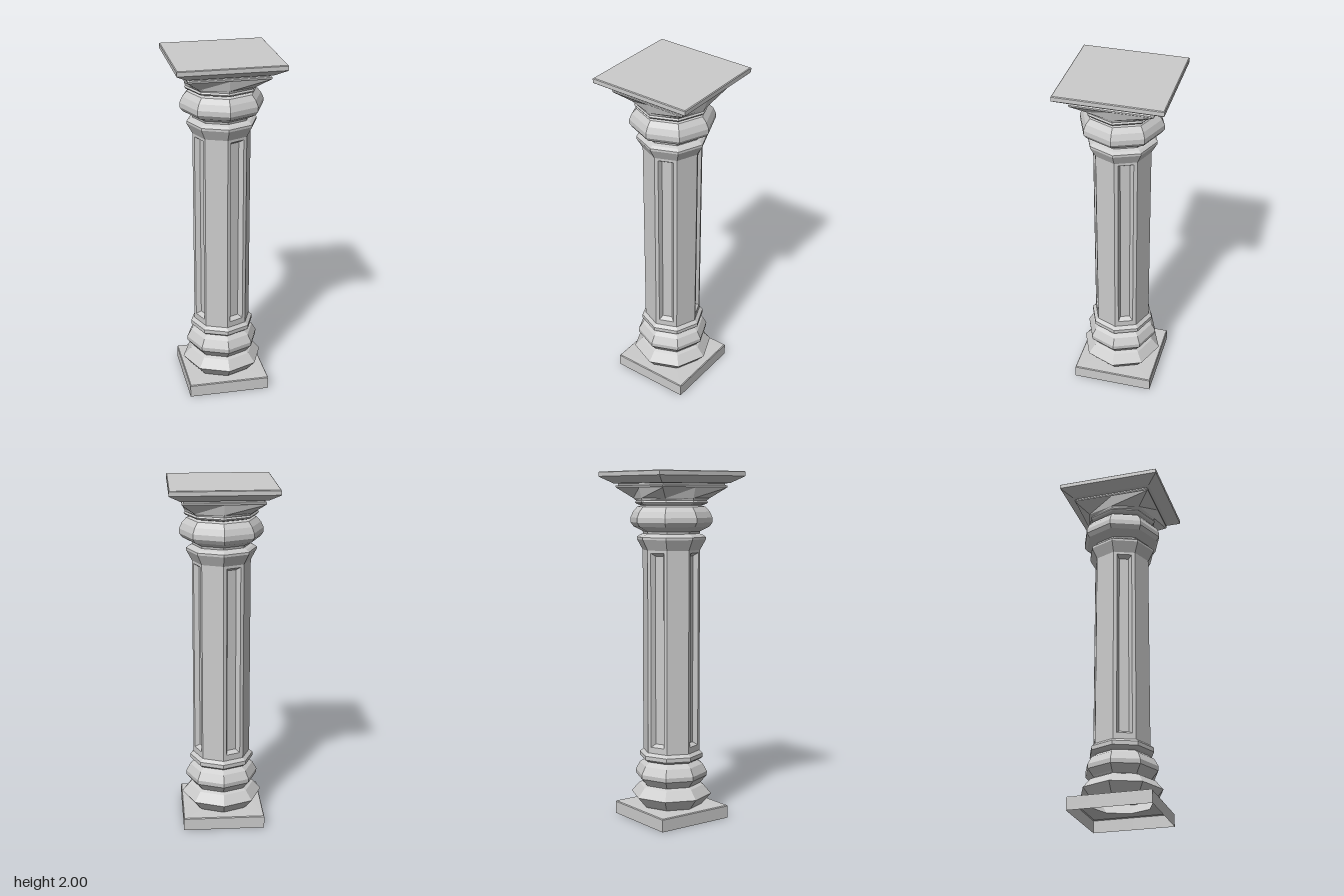
import * as THREE from 'three';

const material = new THREE.MeshStandardMaterial({
  color: 0xcccccc, flatShading: true, side: THREE.DoubleSide,
});

// Eight-point loop: axis radius a, diagonal radius d, height y
function ring(a, d, y) {
  return Array.from({ length: 8 }, (_, i) => {
    const t = (i * Math.PI) / 4, r = i % 2 ? d : a;
    return new THREE.Vector3(Math.sin(t) * r, y, Math.cos(t) * r);
  });
}
const octagon = ([r, y]) => ring(r, r, y);
const square = ([h, y]) => ring(h, h * Math.SQRT2, y);

// Joins successive loops with flat quads; optionally closes the last loop
function loft(loops, closeEnd = false) {
  const pos = [];
  const tri = (...pts) => pts.forEach((p) => pos.push(p.x, p.y, p.z));
  for (let k = 0; k < loops.length - 1; k++) {
    const lo = loops[k], hi = loops[k + 1], n = lo.length;
    for (let i = 0; i < n; i++) {
      const j = (i + 1) % n;
      tri(lo[i], lo[j], hi[j]);
      tri(lo[i], hi[j], hi[i]);
    }
  }
  if (closeEnd) {
    const end = loops[loops.length - 1];
    for (let i = 1; i < end.length - 1; i++) tri(end[0], end[i], end[i + 1]);
  }
  const g = new THREE.BufferGeometry();
  g.setAttribute('position', new THREE.Float32BufferAttribute(pos, 3));
  g.computeVertexNormals();
  return g;
}

export function createModel() {
  const group = new THREE.Group();
  const add = (name, geometry) => {
    const mesh = new THREE.Mesh(geometry, material);
    mesh.name = name;
    group.add(mesh);
  };

  // Hollow square plinth, open below, with an octagonal opening on top
  add('plinth', loft([
    square([0.235, 0]), square([0.235, 0.07]), square([0.231, 0.075]), octagon([0.175, 0.077]),
  ]));

  // Stacked octagonal base mouldings
  add('baseMouldings', loft([
    [0.175, 0.077], [0.19, 0.09], [0.235, 0.143], [0.19, 0.195], [0.17, 0.205],
    [0.178, 0.215], [0.208, 0.25], [0.21, 0.275], [0.185, 0.32], [0.15, 0.343],
    [0.168, 0.347], [0.185, 0.36], [0.185, 0.383], [0.165, 0.4],
  ].map(octagon)));

  // Octagonal shaft: plain faces alternate with recessed panels
  const R = 0.165, y0 = 0.4, y1 = 1.56;
  const half = R * Math.sin(Math.PI / 8), front = R * Math.cos(Math.PI / 8);
  const rect = (w, b, t, z) => [[-w, b], [w, b], [w, t], [-w, t]]
    .map(([x, y]) => new THREE.Vector3(x, y, z));
  const outline = rect(half, y0, y1, front);
  const recess = [
    outline,
    rect(0.043, 0.435, 1.545, front),
    rect(0.027, 0.452, 1.528, front - 0.025),
  ];
  for (let i = 0; i < 8; i++) {
    const panelled = i % 2 === 0;
    const face = loft(panelled ? recess : [outline], true);
    face.rotateY(Math.PI / 8 + (i * Math.PI) / 4);
    add(panelled ? 'shaftPanel' : 'shaftFace', face);
  }

  // Octagonal mouldings above the shaft
  add('neckMouldings', loft([
    [0.165, 1.56], [0.198, 1.62], [0.198, 1.633], [0.182, 1.645], [0.162, 1.652],
    [0.165, 1.665], [0.218, 1.692], [0.235, 1.715], [0.235, 1.742], [0.22, 1.775],
    [0.195, 1.803], [0.17, 1.81], [0.2, 1.818], [0.208, 1.828], [0.202, 1.837],
  ].map(octagon)));

  // Capital blending the octagon into a square
  add('capital', loft([
    octagon([0.202, 1.837]), ring(0.206, 0.218, 1.85), square([0.222, 1.908]),
    square([0.226, 1.912]), square([0.226, 1.92]), square([0.216, 1.923]),
    square([0.216, 1.932]),
  ]));

  // Flared square slab on top
  add('abacus', loft([
    [0.216, 1.932], [0.236, 1.934], [0.293, 1.97], [0.296, 1.973], [0.296, 1.996], [0.292, 2],
  ].map(square), true));

  return group;
}
